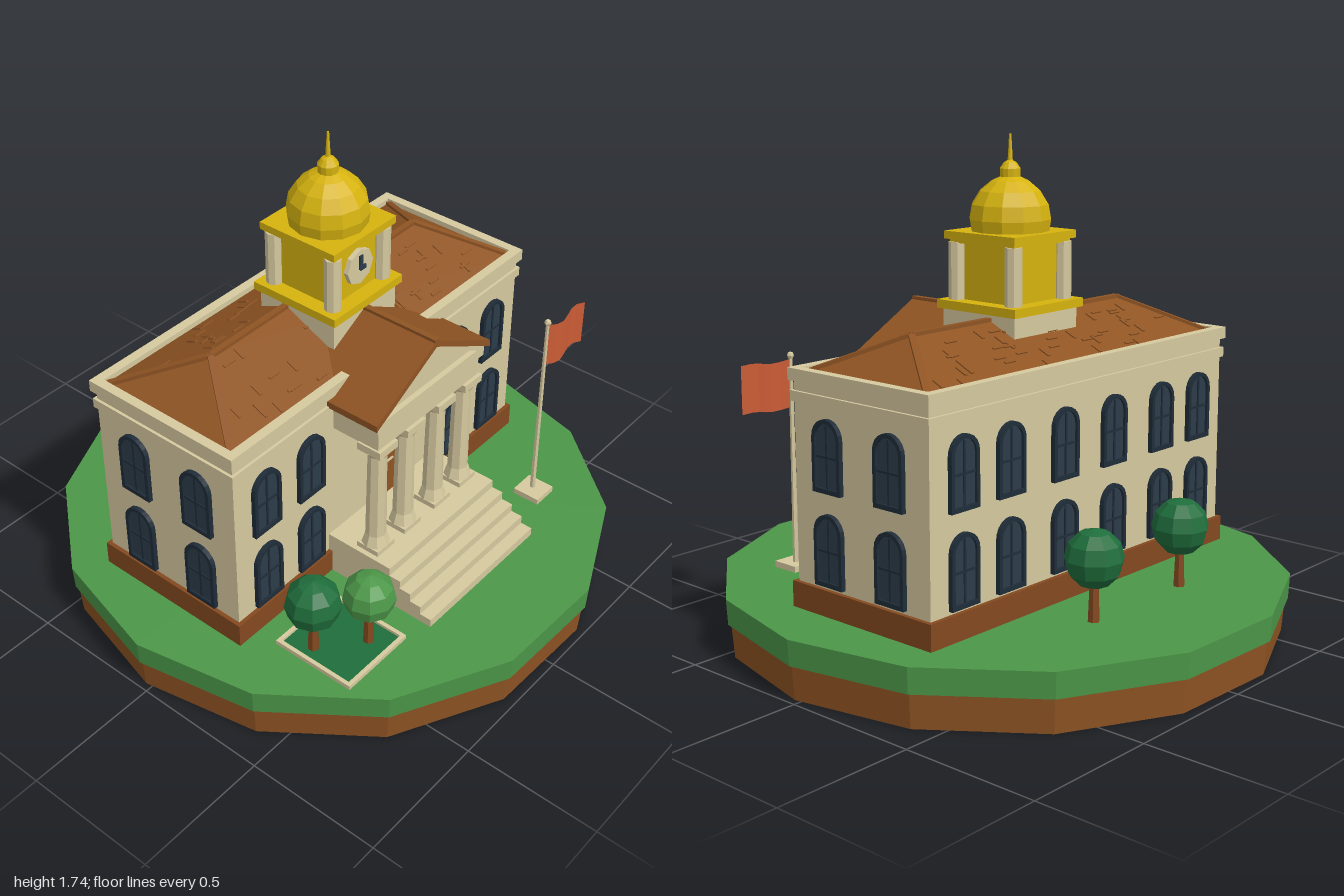
import * as THREE from 'three';
import { ConvexGeometry } from 'three/addons/geometries/ConvexGeometry.js';

const mat = (name, color, extra = {}) => {
  const m = new THREE.MeshStandardMaterial({ color, flatShading: true, ...extra });
  m.name = name;
  return m;
};

export function createModel() {
  const stone = mat('cream stone', 0xd6c99f);
  const brown = mat('warm brown', 0x8f5423);
  const plinthBrown = mat('plinth brown', 0x84491f);
  const grass = mat('grass green', 0x4c9748);
  const leaf = mat('dark leaf green', 0x1f6e3c);
  const gold = mat('gold', 0xd6b30f);
  const glass = mat('window navy', 0x2c3c49);
  const frameDark = mat('window frame navy', 0x1f2c38);
  const red = mat('flag red', 0xcb5c35, { side: THREE.DoubleSide });

  const root = new THREE.Group();
  root.name = 'townHall';
  const add = (name, geo, m, x = 0, y = 0, z = 0, parent = root) => {
    const mesh = new THREE.Mesh(geo, m);
    mesh.name = name;
    mesh.position.set(x, y, z);
    parent.add(mesh);
    return mesh;
  };
  // Box given by its extents
  const box = (name, m, x0, x1, y0, y1, z0, z1, parent = root) =>
    add(name, new THREE.BoxGeometry(x1 - x0, y1 - y0, z1 - z0), m,
      (x0 + x1) / 2, (y0 + y1) / 2, (z0 + z1) / 2, parent);
  const cyl = (name, m, rTop, rBot, y0, y1, x, z, sides = 8, parent = root) =>
    add(name, new THREE.CylinderGeometry(rTop, rBot, y1 - y0, sides), m, x, (y0 + y1) / 2, z, parent);
  const extrude = (shape, depth) =>
    new THREE.ExtrudeGeometry(shape, { depth, bevelEnabled: false, curveSegments: 5 });
  const poly = pts => new THREE.Shape(pts.map(p => new THREE.Vector2(...p)));

  // Island
  const disc = (name, m, rTop, rBot, y0, y1) => {
    const g = new THREE.CylinderGeometry(rTop, rBot, y1 - y0, 14, 1, false, Math.PI / 14);
    g.rotateY(-0.025).scale(1, 1, 1.015);
    add(name, g, m, 0, (y0 + y1) / 2, 0);
  };
  disc('soil', brown, 0.985, 0.975, 0, 0.125);
  disc('lawn', grass, 1, 0.995, 0.12, 0.21);

  // Main block
  const zc = -0.073;
  const slab = (name, m, hx, hz, y0, y1) => box(name, m, -hx, hx, y0, y1, zc - hz, zc + hz);
  slab('plinth', plinthBrown, 0.78, 0.318, 0.2, 0.3);
  slab('walls', stone, 0.765, 0.303, 0.3, 0.98);
  slab('lowerCornice', stone, 0.775, 0.313, 0.91, 0.945);
  const ring = poly([[-0.78, -0.317], [0.78, -0.317], [0.78, 0.317], [-0.78, 0.317]]);
  ring.holes.push(poly([[-0.745, -0.282], [-0.745, 0.282], [0.745, 0.282], [0.745, -0.282]]));
  add('parapet', extrude(ring, 0.042).rotateX(-Math.PI / 2), stone, 0, 0.978, zc);

  // Hipped roof with ridge and hip caps
  const ridgeY = 1.13, eaveY = 1.0, rx = 0.53, ex = 0.745, ez = 0.282;
  const hipPts = [];
  for (const s of [-1, 1]) {
    hipPts.push(new THREE.Vector3(s * rx, ridgeY, zc));
    for (const t of [-1, 1])
      for (const y of [eaveY, 0.97]) hipPts.push(new THREE.Vector3(s * ex, y, zc + t * ez));
  }
  add('hipRoof', new ConvexGeometry(hipPts), brown);
  const cap = (name, a, b) => {
    const from = new THREE.Vector3(...a), to = new THREE.Vector3(...b);
    const m = add(name, new THREE.BoxGeometry(0.022, 0.016, from.distanceTo(to)), brown);
    m.position.copy(from).lerp(to, 0.5);
    m.lookAt(to);
  };
  cap('ridgeCap', [-rx, ridgeY, zc], [rx, ridgeY, zc]);
  for (const s of [-1, 1])
    for (const t of [-1, 1]) cap('hipCap', [s * rx, ridgeY, zc], [s * ex, eaveY, zc + t * ez]);

  // Scattered raised shingles on the long slopes
  let seed = 7;
  const rnd = () => (seed = (seed * 16807) % 2147483647) / 2147483647;
  const pitch = Math.atan((ridgeY - eaveY) / ez);
  for (const t of [-1, 1])
    for (let i = 0; i < 44; i++) {
      const k = 0.1 + 0.75 * rnd();
      const x = (rnd() * 2 - 1) * (0.69 - 0.2 * k);
      const along = rnd() > 0.5;
      const s = add('shingle', new THREE.BoxGeometry(along ? 0.05 : 0.012, 0.008, along ? 0.01 : 0.045), brown,
        x, eaveY + k * (ridgeY - eaveY), zc + t * ez * (1 - k));
      s.rotation.x = t * pitch;
    }

  // Arched windows
  const arch = (w, h) => {
    const s = new THREE.Shape();
    s.moveTo(-w / 2, 0).lineTo(w / 2, 0).lineTo(w / 2, h - w / 2);
    s.absarc(0, h - w / 2, w / 2, 0, Math.PI, false);
    return s.closePath();
  };
  const outer = arch(0.128, 0.245);
  outer.holes.push(new THREE.Path(arch(0.1, 0.215).getPoints(5).map(p => p.setY(p.y + 0.016)).reverse()));
  const frameGeo = extrude(outer, 0.018);
  const paneGeo = extrude(arch(0.11, 0.225), 0.009);
  const addWindow = (x, z, turn) => {
    for (const y of [0.313, 0.628]) {
      const w = new THREE.Group();
      w.name = 'window';
      w.position.set(x, y, z);
      w.rotation.y = turn;
      root.add(w);
      add('windowFrame', frameGeo, frameDark, 0, 0, 0, w);
      add('windowPane', paneGeo, glass, 0, 0.01, 0, w);
      box('windowBar', frameDark, -0.004, 0.004, 0.01, 0.225, 0.005, 0.013, w);
      box('windowBar', frameDark, -0.052, 0.052, 0.115, 0.123, 0.005, 0.013, w);
    }
  };
  for (const s of [-1, 1]) {
    for (const x of [0.4, 0.62]) addWindow(s * x, zc + 0.302, 0);
    for (const x of [0.13, 0.4, 0.62]) addWindow(s * x, zc - 0.302, Math.PI);
    for (const z of [0.07, -0.21]) addWindow(s * 0.764, z, s * Math.PI / 2);
  }

  // Porch floor and steps
  for (let i = 0; i < 5; i++)
    box('step', stone, -0.3, 0.3, 0.2, 0.37 - i * 0.032, 0.2, 0.5 + i * 0.045);

  // Door
  box('doorSurround', stone, -0.075, 0.075, 0.37, 0.645, 0.22, 0.238);
  box('door', brown, -0.06, 0.06, 0.37, 0.63, 0.22, 0.245);
  box('doorHandle', stone, -0.03, 0.03, 0.515, 0.523, 0.24, 0.25);

  // Portico columns
  for (const x of [-0.235, -0.085, 0.085, 0.235]) {
    box('columnPlinth', stone, x - 0.046, x + 0.046, 0.365, 0.39, 0.34, 0.432);
    cyl('columnFoot', stone, 0.036, 0.05, 0.39, 0.435, x, 0.386);
    cyl('columnShaft', stone, 0.033, 0.037, 0.43, 0.795, x, 0.386);
    cyl('columnNeck', stone, 0.05, 0.034, 0.78, 0.805, x, 0.386);
    box('capital', stone, x - 0.048, x + 0.048, 0.803, 0.832, 0.338, 0.434);
  }

  // Entablature, pediment and gable roof
  box('architrave', stone, -0.275, 0.275, 0.83, 0.91, 0.2, 0.42);
  box('porticoCornice', stone, -0.29, 0.29, 0.91, 0.95, 0.2, 0.43);
  add('tympanum', extrude(poly([[-0.28, 0.945], [0.28, 0.945], [0, 1.1]]), 0.47), stone, 0, 0, -0.06);
  const chevron = (hx, y, top, t) =>
    poly([[-hx, y], [-hx, y - t], [0, top - t], [hx, y - t], [hx, y], [0, top]]);
  add('rakingCornice', extrude(chevron(0.28, 0.965, 1.108, 0.03), 0.22), stone, 0, 0, 0.21);
  add('gableRoof', extrude(chevron(0.31, 0.965, 1.135, 0.025), 0.51), brown, 0, 0, -0.07);
  cap('gableRidge', [0, 1.132, 0.1], [0, 1.132, 0.44]);

  // Clock tower
  const tz = -0.025;
  const tier = (name, m, h, y0, y1) => box(name, m, -h, h, y0, y1, tz - h, tz + h);
  tier('towerBase', stone, 0.162, 0.99, 1.155);
  tier('towerLedge', gold, 0.178, 1.15, 1.18);
  tier('belfry', gold, 0.122, 1.18, 1.39);
  tier('belfryCornice', gold, 0.16, 1.388, 1.415);
  tier('belfryFillet', gold, 0.145, 1.375, 1.39);
  for (const sx of [-1, 1])
    for (const sz of [-1, 1])
      cyl('towerColumn', stone, 0.03, 0.03, 1.18, 1.378, sx * 0.128, tz + sz * 0.128);
  const dome = [[0.135, 1.41], [0.142, 1.455], [0.133, 1.505], [0.105, 1.55], [0.065, 1.583], [0.035, 1.597],
    [0.036, 1.625], [0.022, 1.645], [0.009, 1.652], [0.004, 1.74], [0, 1.74]];
  add('domeAndSpire', new THREE.LatheGeometry(dome.map(p => new THREE.Vector2(...p)), 12), gold, 0, 0, tz);

  // Clock face with hands
  const face = add('clockFace', new THREE.CylinderGeometry(0.066, 0.066, 0.02, 8), stone, 0, 1.285, 0.105);
  face.rotation.x = Math.PI / 2;
  box('minuteHand', glass, -0.008, 0.008, 1.277, 1.33, 0.114, 0.12);
  box('hourHand', glass, -0.004, 0.024, 1.272, 1.288, 0.114, 0.12);

  // Planter
  box('planterBed', leaf, -0.68, -0.41, 0.2, 0.216, 0.34, 0.64);
  for (const x of [-0.695, -0.41]) box('planterEdge', stone, x, x + 0.015, 0.2, 0.226, 0.33, 0.65);
  for (const z of [0.33, 0.635]) box('planterEdge', stone, -0.695, -0.395, 0.2, 0.226, z, z + 0.015);

  // Trees
  const tree = (x, z, r, m) => {
    cyl('treeTrunk', plinthBrown, 0.015, 0.021, 0.2, 0.36, x, z, 6);
    add('treeCrown', new THREE.SphereGeometry(r, 9, 6), m, x, 0.423, z);
  };
  tree(-0.24, -0.59, 0.1, leaf);
  tree(0.23, -0.59, 0.1, leaf);
  tree(-0.63, 0.44, 0.098, leaf);
  tree(-0.485, 0.56, 0.092, grass);

  // Flagpole with a waving flag
  box('flagBase', stone, 0.45, 0.55, 0.2, 0.232, 0.5, 0.605);
  cyl('flagPole', stone, 0.007, 0.011, 0.23, 0.98, 0.505, 0.545, 6);
  add('poleFinial', new THREE.SphereGeometry(0.013, 6, 4), stone, 0.505, 0.98, 0.545);
  const flag = new THREE.PlaneGeometry(0.195, 0.17, 6, 1);
  const p = flag.attributes.position;
  for (let i = 0; i < p.count; i++) {
    const u = p.getX(i) / 0.195 + 0.5;
    p.setZ(i, u * 0.025 + 0.012 * Math.sin(u * 6));
    p.setY(i, p.getY(i) + 0.008 * Math.sin(u * 6 + 3));
  }
  add('flag', flag, red, 0.61, 0.88, 0.545);

  return root;
}
